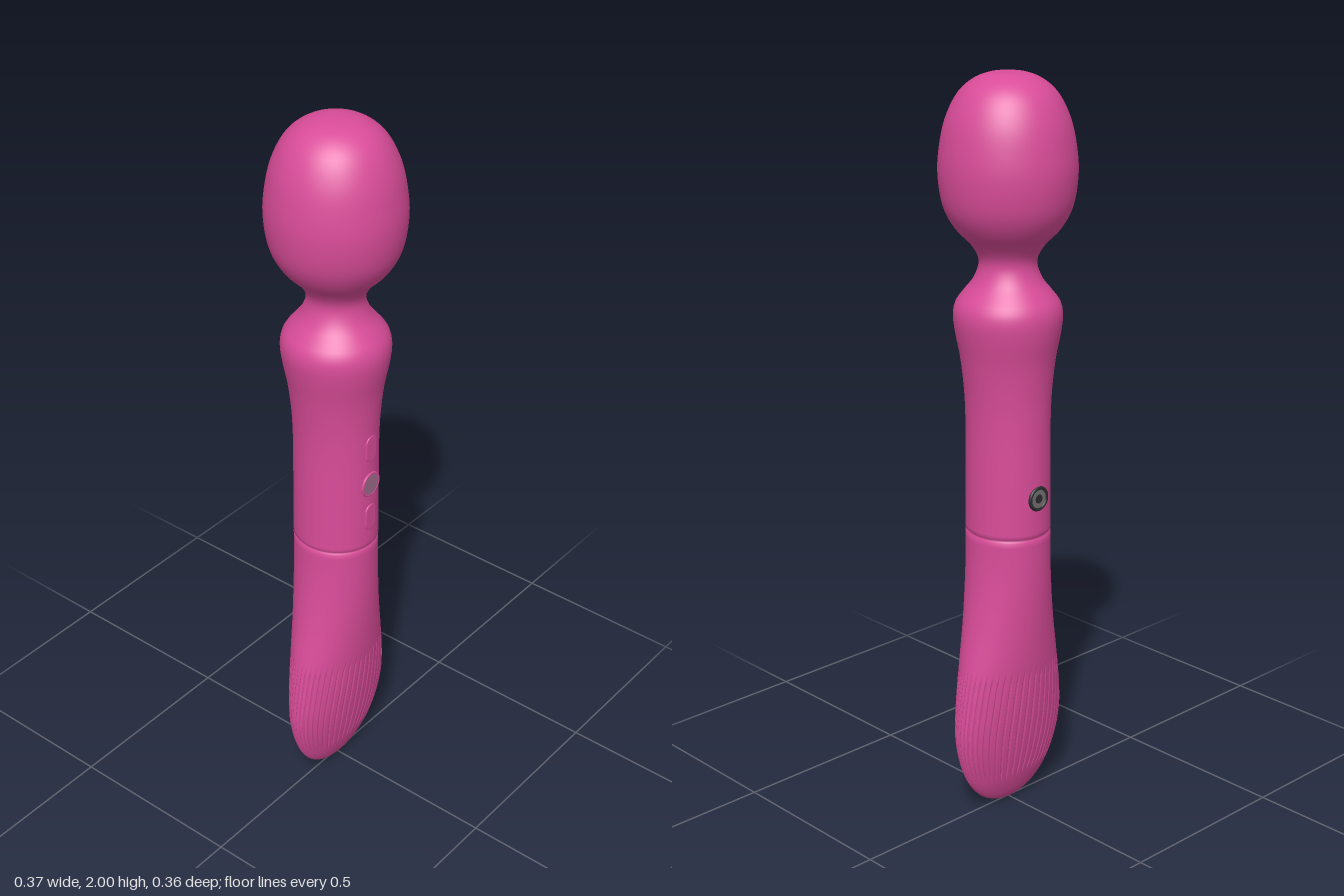
import * as THREE from 'three';

const pink = new THREE.MeshStandardMaterial({ color: 0xd94c99 });
pink.name = 'pink silicone';
const mauve = new THREE.MeshStandardMaterial({ color: 0x9c6a8a });
mauve.name = 'muted button face';
const grey = new THREE.MeshStandardMaterial({ color: 0x707070 });
grey.name = 'grey metal';
const dark = new THREE.MeshStandardMaterial({ color: 0x2c2c2e });
dark.name = 'dark socket';

// half width, height, half depth, from the foot to the crown
const PROFILE = [
  [0, 0, 0], [0.03, 0.003, 0.007], [0.06, 0.012, 0.015], [0.1, 0.035, 0.027], [0.14, 0.08, 0.043],
  [0.17, 0.15, 0.061], [0.183, 0.23, 0.076], [0.175, 0.32, 0.089], [0.155, 0.43, 0.1],
  [0.135, 0.53, 0.107], [0.12, 0.63, 0.112], [0.112, 0.72, 0.114], [0.11, 0.8, 0.115],
  [0.108, 0.95, 0.115], [0.107, 1.1, 0.115], [0.111, 1.18, 0.117], [0.122, 1.27, 0.125],
  [0.135, 1.34, 0.138], [0.14, 1.385, 0.142], [0.134, 1.415, 0.136], [0.112, 1.445, 0.115],
  [0.086, 1.48, 0.088], [0.073, 1.525, 0.075], [0.092, 1.565, 0.094], [0.134, 1.61, 0.136],
  [0.163, 1.665, 0.165], [0.175, 1.75, 0.178], [0.17, 1.82, 0.172], [0.155, 1.885, 0.157],
  [0.125, 1.945, 0.127], [0.09, 1.978, 0.091], [0.05, 1.995, 0.05], [0, 2, 0],
];

const RIBS = 48;
const SEGMENTS = RIBS * 8;
const SEAM_Y = 0.8;

// Elliptical loft with narrow grooves in the grip and a parting groove
function bodyGeometry() {
  const curve = new THREE.CatmullRomCurve3(PROFILE.map((p) => new THREE.Vector3(...p)));
  const rows = curve.getSpacedPoints(140).filter((p) => Math.abs(p.y - SEAM_Y) > 0.012);
  for (const [dy, inset] of [[-0.005, 0], [-0.003, 0.005], [0.003, 0.005], [0.005, 0]]) {
    rows.push(new THREE.Vector3(0.11 - inset, SEAM_Y + dy, 0.115 - inset));
  }
  rows.sort((a, b) => a.y - b.y);

  const positions = [];
  const indices = [];
  rows.forEach((row, r) => {
    const ribbed = row.y > 0.1 && row.y < 0.41;
    for (let s = 0; s < SEGMENTS; s++) {
      const a = (s / SEGMENTS) * Math.PI * 2;
      const cut = ribbed && s % 8 === 4 ? 0.006 : 0;
      positions.push((row.x - cut) * Math.sin(a), row.y, (row.z - cut) * Math.cos(a));
      if (r === rows.length - 1) continue;
      const n = (s + 1) % SEGMENTS;
      const i = r * SEGMENTS + s;
      const j = r * SEGMENTS + n;
      if (r > 0) indices.push(i, j, j + SEGMENTS);
      if (r < rows.length - 2) indices.push(i, j + SEGMENTS, i + SEGMENTS);
      else indices.push(i, j, i + SEGMENTS);
      if (r === 0) continue;
    }
  });
  const geometry = new THREE.BufferGeometry();
  geometry.setAttribute('position', new THREE.Float32BufferAttribute(positions, 3));
  geometry.setIndex(indices);
  geometry.computeVertexNormals();
  return geometry;
}

function add(parent, name, geometry, material, x, y, z) {
  const mesh = new THREE.Mesh(geometry, material);
  mesh.name = name;
  mesh.position.set(x, y, z);
  parent.add(mesh);
  return mesh;
}

// Round disc facing +z
function disc(radius, depth) {
  return new THREE.CylinderGeometry(radius, radius, depth, 40).rotateX(Math.PI / 2);
}

// Rounded upright pill with a small bevel
function pillGeometry() {
  const w = 0.017;
  const h = 0.02;
  const shape = new THREE.Shape();
  shape.absarc(0, h, w, 0, Math.PI, false);
  shape.absarc(0, -h, w, Math.PI, Math.PI * 2, false);
  shape.closePath();
  return new THREE.ExtrudeGeometry(shape, {
    depth: 0.008, bevelEnabled: true, bevelSize: 0.003, bevelThickness: 0.002, bevelSegments: 2, curveSegments: 10,
  });
}

export function createModel() {
  const model = new THREE.Group();
  model.name = 'wand';
  add(model, 'body', bodyGeometry(), pink, 0, 0, 0);

  // Front controls
  const controls = new THREE.Group();
  controls.name = 'controls';
  model.add(controls);
  add(controls, 'upperButton', pillGeometry(), pink, 0, 1.11, 0.108);
  add(controls, 'lowerButton', pillGeometry(), pink, 0, 0.895, 0.108);
  add(controls, 'roundButtonRim', new THREE.TorusGeometry(0.032, 0.004, 10, 40), pink, 0, 1, 0.115);
  add(controls, 'roundButtonFace', disc(0.031, 0.009), mauve, 0, 1, 0.1135);

  // Charging socket on the back
  const socket = new THREE.Group();
  socket.name = 'chargingSocket';
  socket.position.set(0, 0.91, -0.114);
  socket.rotation.y = Math.PI;
  model.add(socket);
  add(socket, 'socketRim', new THREE.TorusGeometry(0.029, 0.005, 10, 40), dark, 0, 0, 0);
  add(socket, 'socketPlate', disc(0.028, 0.008), grey, 0, 0, -0.002);
  add(socket, 'socketHole', disc(0.012, 0.004), dark, 0, 0, 0.001);
  return model;
}
